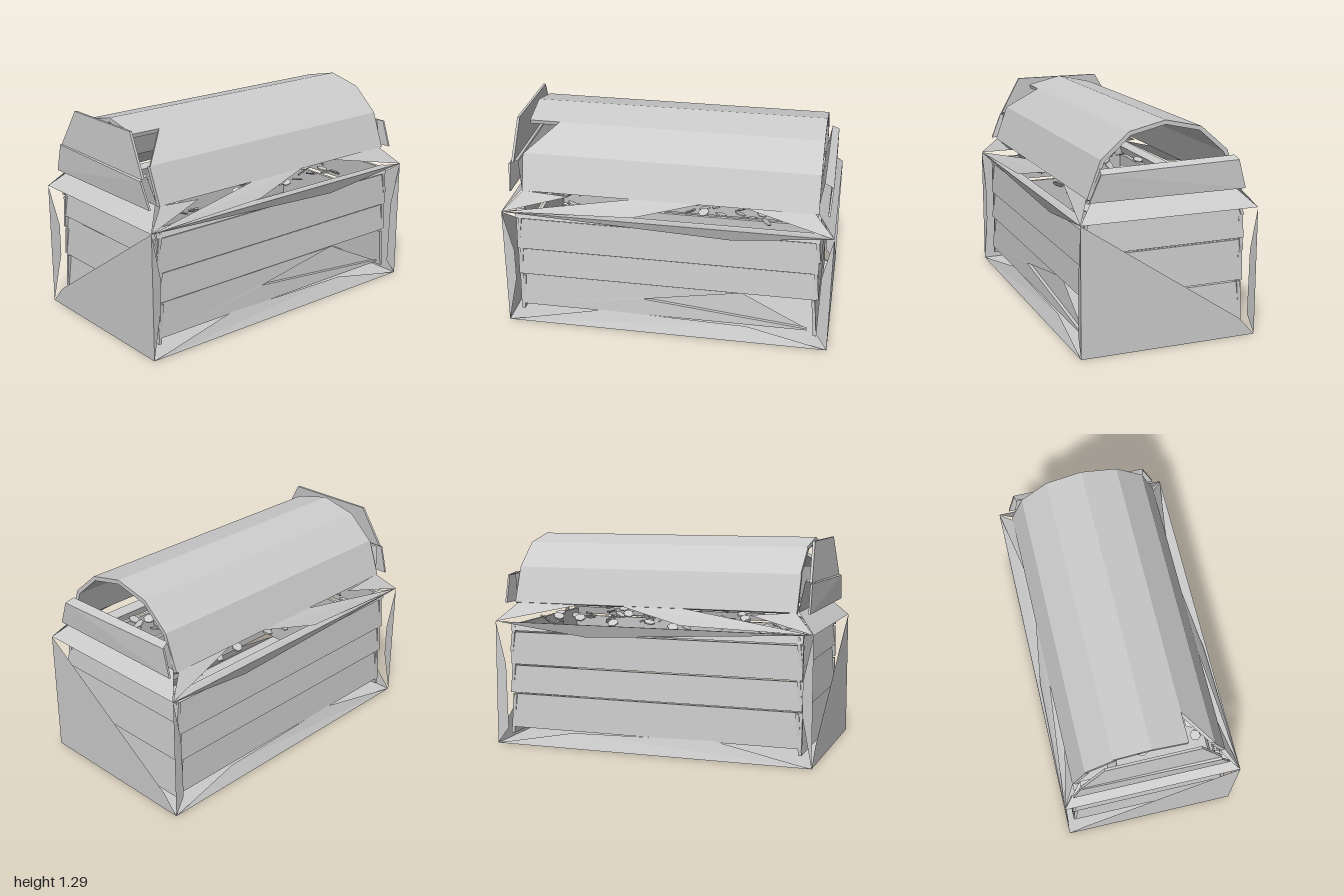
import * as THREE from 'three';
import { mergeGeometries } from 'three/addons/utils/BufferGeometryUtils.js';

const material = new THREE.MeshStandardMaterial({ color: 0xcccccc, flatShading: true, side: THREE.DoubleSide });

// Flat polygon through 3D corners, fanned from the first; an offset turns it into a slab
function slabGeometry(pts, offset) {
  const pos = [];
  const fan = (p) => { for (let i = 1; i < p.length - 1; i++) pos.push(...p[0], ...p[i], ...p[i + 1]); };
  fan(pts);
  if (offset) {
    const back = pts.map((p) => p.map((v, k) => v + offset[k]));
    fan([...back].reverse());
    pts.forEach((p, i) => {
      const j = (i + 1) % pts.length;
      fan([p, back[i], back[j], pts[j]]);
    });
  }
  const g = new THREE.BufferGeometry();
  g.setAttribute('position', new THREE.Float32BufferAttribute(pos, 3));
  g.computeVertexNormals();
  return g;
}

function seeded(seed) {
  return () => (seed = (seed * 16807) % 2147483647) / 2147483647;
}

export function createModel() {
  const model = new THREE.Group();
  const add = (name, geometry) => {
    const mesh = new THREE.Mesh(geometry, material);
    mesh.name = name;
    model.add(mesh);
    return mesh;
  };
  const slab = (name, pts, offset) => add(name, slabGeometry(pts, offset));
  const W = 0.54, D = 1, RIM = 0.77;

  // Floor of the chest
  slab('floor', [[-W, 0, -D], [W, 0, -D], [W, 0, D], [-W, 0, D]]);

  for (const s of [-1, 1]) {
    // Long side planks, each row leaning out slightly over the next
    const rows = [[0.1, 0.31], [0.32, 0.49], [0.5, 0.7], [0.71, 0.76]];
    rows.forEach(([a, b], i) => {
      const lo = s * 0.495, hi = s * 0.48;
      const pts = i === 0 && s === 1
        // broken lower plank
        ? [[lo, a, 0.93], [hi, b, 0.93], [hi, b, -0.45], [0.488, 0.21, 0.15], [lo, 0.11, -0.87], [lo, a, -0.87]]
        : [[lo, a, 0.93], [hi, b, 0.93], [hi, b, -0.92], [lo, a, -0.92]];
      slab('sidePlank', pts, [-s * 0.02, 0, 0]);
    });

    // End planks
    for (const [a, b] of [[0.06, 0.305], [0.32, 0.56], [0.575, 0.75]]) {
      slab('endPlank', [[-0.49, a, s * 0.93], [0.49, a, s * 0.93], [0.49, b, s * 0.91], [-0.49, b, s * 0.91]], [0, 0, -s * 0.02]);
    }

    // Splintered end panel covering half of each end
    slab('endPanel', [[W, 0, s * D], [W, RIM, s * D], [-0.44, 0.11, s * D], [-W, 0, s * D]]);

    // Remains of the outer side frame: bottom rail, top rail and posts
    slab('bottomRail', [[s * W, 0, D], [s * 0.5, 0.11, 0.4], [s * 0.5, 0.09, -0.5], [s * W, 0, -D]]);
    slab('topRail', [[s * W, RIM, D], [s * 0.51, 0.69, -0.4], [s * W, RIM, -D]]);
    slab('frontPost', [[s * W, RIM, D], [s * W, 0, D], [s * 0.53, 0.3, 0.94], [s * 0.53, 0.5, 0.94]]);
    slab('backPost', [[s * W, RIM, -D], [s * W, 0, -D], [s * 0.53, 0.1, -0.93], [s * 0.53, 0.5, -0.94]]);

    // Broken sloping rim along the sides
    slab('sideRim', [[s * W, RIM, D], [s * 0.46, 0.885, 0.2], [s * 0.46, 0.885, -0.2], [s * 0.52, 0.79, 0.2]]);
    slab('sideRim', [[s * W, RIM, -D], [s * 0.46, 0.885, -0.88], [s * 0.45, 0.885, -0.45]]);
    slab('sideRim', [[s * W, RIM, D], [s * 0.46, 0.885, 0.88], [s * 0.45, 0.86, 0.6]]);
    slab('rimLedge', [[s * W, RIM, D], [s * W, RIM, -D], [s * 0.48, 0.76, -0.92], [s * 0.48, 0.76, 0.92]]);

    // Lower sloping board and middle board of the lid ends
    slab('lidEndLower', [[-W, RIM, s * D], [W, RIM, s * D], [0.43, 0.885, s * 0.89], [-0.43, 0.885, s * 0.89]]);
    slab('lidEndMiddle', [[-0.475, 0.88, s * 0.965], [0.475, 0.88, s * 0.965], [0.41, 1.035, s * 0.975], [-0.43, 1.05, s * 0.965]], [0, 0, -s * 0.012]);
    slab('lidEndLedge', [[-0.43, 1.05, s * 0.965], [0.41, 1.035, s * 0.975], [0.4, 1.055, s * 0.92], [-0.42, 1.07, s * 0.92]]);
    slab('lidEndInner', [[-0.42, 1.06, s * 0.92], [0.4, 1.045, s * 0.92], [0.45, 0.885, s * 0.89], [-0.45, 0.885, s * 0.89]]);
  }

  // Upper board survives only at the front of the lid
  slab('lidFrontUpper', [[-0.42, 1.055, 0.96], [0.41, 1.04, 0.96], [0.28, 1.285, 0.945], [-0.28, 1.285, 0.945]], [0, 0, -0.015]);

  // Lid planks following the arched profile
  const profile = [[0, 1.295], [0.22, 1.245], [0.385, 1.1], [0.465, 0.885]];
  for (const s of [-1, 1]) {
    for (let i = 0; i < 3; i++) {
      const [x0, y0] = profile[i], [x1, y1] = profile[i + 1];
      const len = Math.hypot(x1 - x0, y1 - y0);
      const inward = [s * (y1 - y0) / len * 0.025, -(x1 - x0) / len * 0.025, 0];
      // right upper plank has a broken front corner
      const zTop = s === 1 && i === 1 ? 0.7 : 0.89;
      slab('lidPlank', [[s * x0, y0, zTop], [s * x1, y1, 0.885], [s * x1, y1, -0.9], [s * x0, y0, -0.9]], inward);
    }
  }

  // Scattered coins inside, just under the rim
  const rand = seeded(7);
  const coins = [];
  for (let i = 0; i < 70; i++) {
    const coin = new THREE.CylinderGeometry(0.035, 0.035, 0.008, 6);
    coin.rotateX((rand() - 0.5) * 1.2);
    coin.rotateZ((rand() - 0.5) * 1.2);
    coin.translate((rand() - 0.5) * 0.8, 0.74 + rand() * 0.06, (rand() - 0.5) * 1.6);
    coins.push(coin);
  }
  add('coins', mergeGeometries(coins));

  return model;
}
